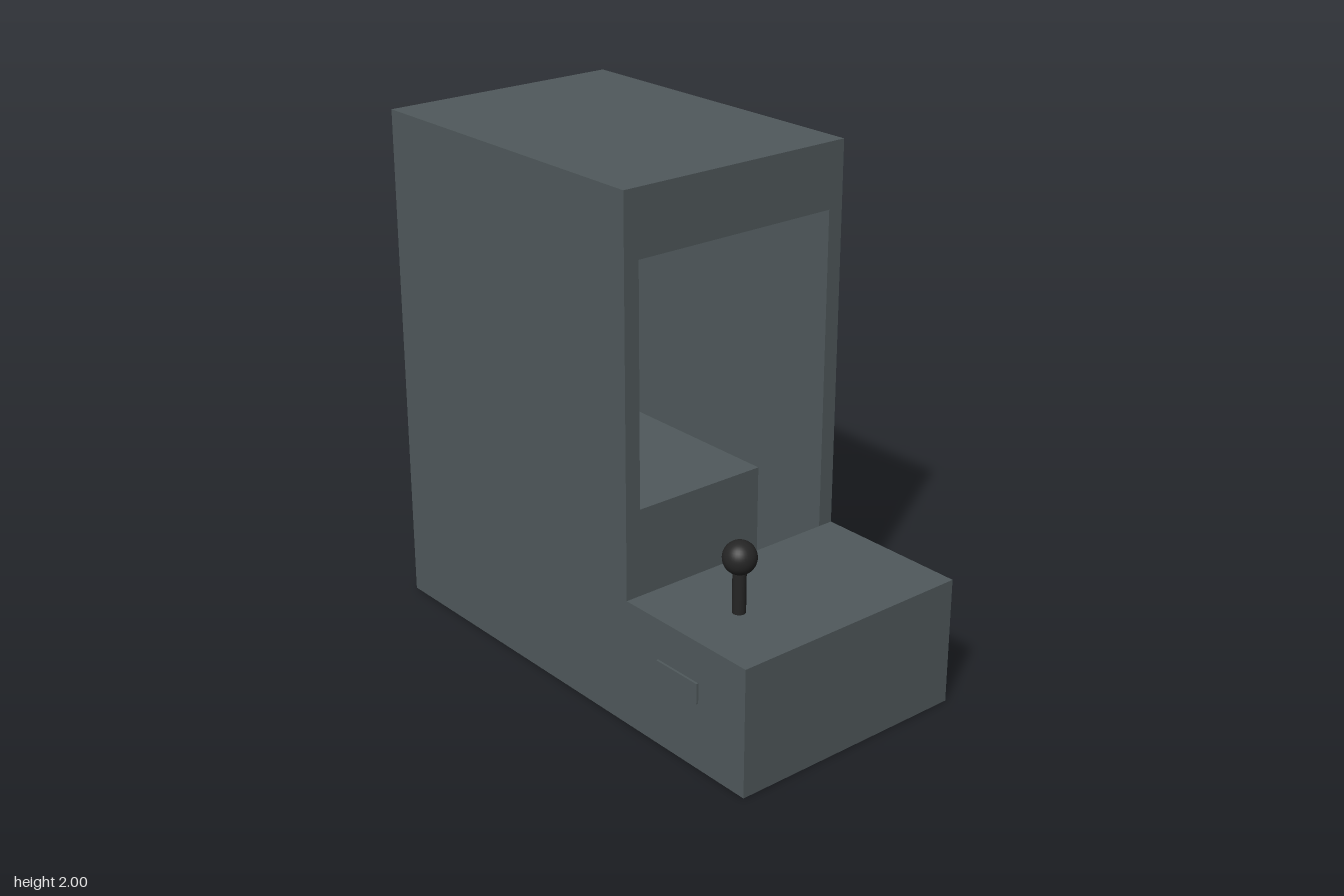
import * as THREE from 'three';
import { mergeGeometries } from 'three/addons/utils/BufferGeometryUtils.js';

const casing = new THREE.MeshStandardMaterial({ color: 0x50595c, side: THREE.DoubleSide });
casing.name = 'slate grey casing';
const black = new THREE.MeshStandardMaterial({ color: 0x252525 });
black.name = 'black plastic';

const shapeOf = (pts) => new THREE.Shape(pts.map(([a, b]) => new THREE.Vector2(a, b)));

// Flat side face from a [z, y] outline at a given x, facing dir (+1 or -1) along x
function sideFace(outline, x, dir) {
  const g = new THREE.ShapeGeometry(shapeOf(outline.map(([z, y]) => [-dir * z, y])));
  return g.rotateY(dir * Math.PI / 2).translate(x, 0, 0);
}

// Walls running across x along a [z, y] outline; listed segments stay open
function walls(outline, half, open) {
  const pos = [];
  outline.forEach(([z0, y0], i) => {
    if (open.includes(i)) return;
    const [z1, y1] = outline[(i + 1) % outline.length];
    pos.push(-half, y0, z0, half, y0, z0, half, y1, z1);
    pos.push(-half, y0, z0, half, y1, z1, -half, y1, z1);
  });
  const g = new THREE.BufferGeometry();
  g.setAttribute('position', new THREE.Float32BufferAttribute(pos, 3));
  g.computeVertexNormals();
  return g;
}

// Closed volume (facing = 1) or hollow seen from inside (facing = -1)
function prism(outline, half, open, facing) {
  return mergeGeometries([
    walls(outline, half, open),
    ...[-1, 1].map((s) => {
      const g = sideFace(outline, s * half, s * facing).toNonIndexed();
      g.deleteAttribute('uv');
      return g;
    }),
  ]);
}

export function createModel() {
  const model = new THREE.Group();
  const add = (name, geometry, material, x = 0, y = 0, z = 0) => {
    const mesh = new THREE.Mesh(geometry, material);
    mesh.name = name;
    mesh.position.set(x, y, z);
    model.add(mesh);
  };

  // L-shaped cabinet; the upper front and the back are cut panels added below
  const body = [[1, 0], [1, 0.5], [0.375, 0.5], [0.375, 2], [-1, 2], [-1, 0]];
  add('cabinetShell', prism(body, 0.5, [2, 4], 1), casing);

  // Upper front frame around the cockpit opening
  const w = 0.4375;
  const frame = shapeOf([[-0.5, 0.5], [-w, 0.5], [-w, 1.75], [w, 1.75],
    [w, 0.5], [0.5, 0.5], [0.5, 2], [-0.5, 2]]);
  add('frontFrame', new THREE.ShapeGeometry(frame), casing, 0, 0, 0.375);

  // Cockpit: foot well, seat bench, back wall and ceiling
  const cockpit = [[0.375, 0.5], [0.375, 0.0625], [0.03, 0.0625], [0.03, 0.625],
    [-0.9375, 0.625], [-0.9375, 1.75], [0.375, 1.75]];
  add('cockpitInterior', prism(cockpit, w, [6], -1), casing);

  // Back panel with a small recessed socket near the floor
  const s = 0.11;
  const back = shapeOf([[-0.5, 0], [0.5, 0], [0.5, 2], [-0.5, 2]]);
  back.holes.push(shapeOf([[-s, 0.065], [-s, 0.19], [s, 0.19], [s, 0.065]]));
  add('backPanel', new THREE.ShapeGeometry(back).rotateY(Math.PI), casing, 0, 0, -1);
  const socket = [[-1, 0.19], [-0.96, 0.19], [-0.96, 0.065], [-1, 0.065]];
  add('backSocket', prism(socket, s, [3], -1), casing);

  // Thin plate on the side of the console
  add('sidePlate', new THREE.BoxGeometry(0.009, 0.08, 0.215), casing, -0.5045, 0.302, 0.655);

  // Control stick
  add('stick', new THREE.CylinderGeometry(0.025, 0.025, 0.18, 24), black, -0.25, 0.59, 0.6875);
  add('stickBall', new THREE.SphereGeometry(0.0625, 32, 20), black, -0.25, 0.713, 0.6875);
  return model;
}
